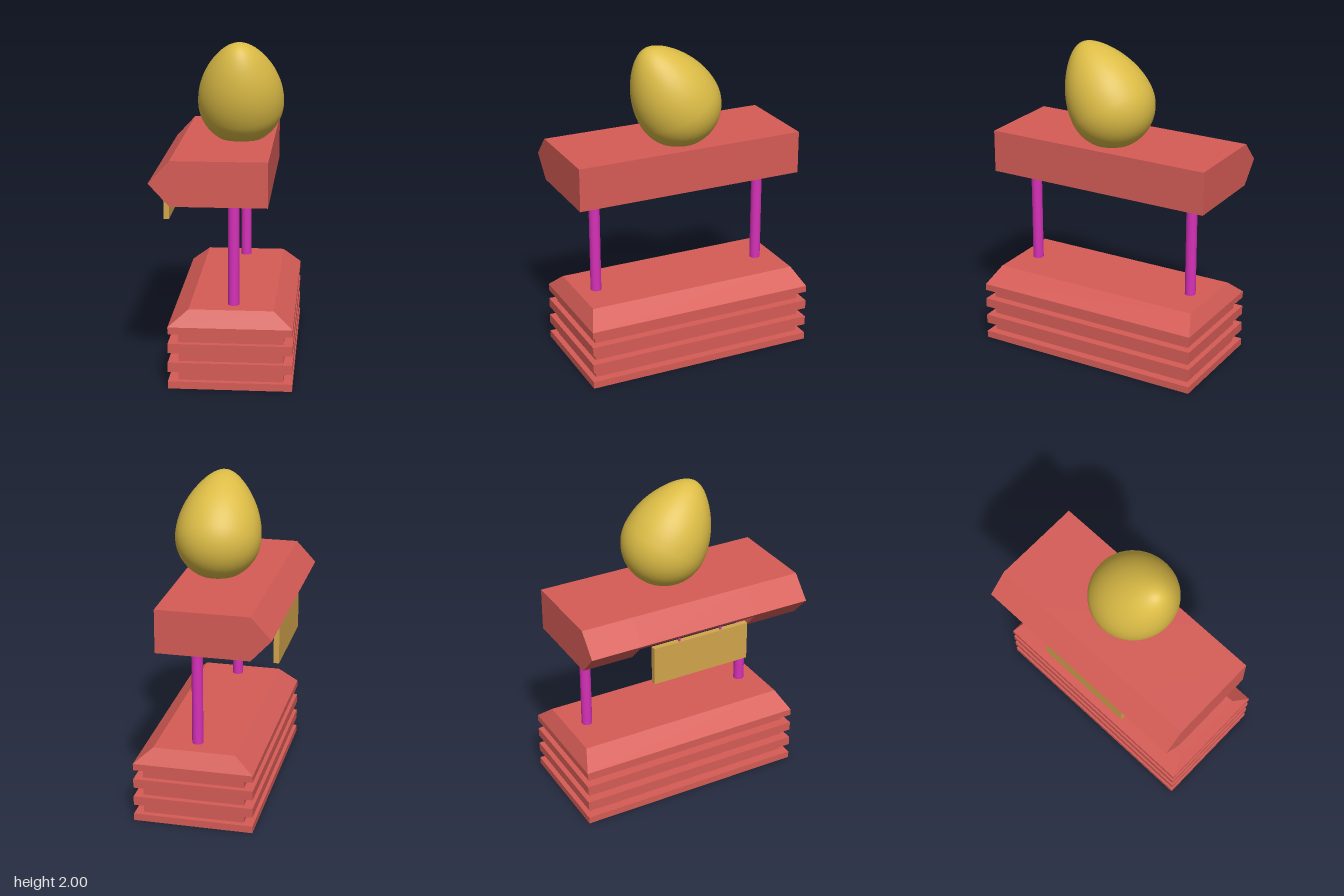
import * as THREE from 'three';

const mat = (color) => new THREE.MeshStandardMaterial({ color });

export function createModel() {
  const model = new THREE.Group();
  const red = mat(0xd65c56), purple = mat(0xd630b8), ochre = mat(0xd2a54c), gold = mat(0xdcbc46);

  const add = (parent, name, geometry, material) => {
    const mesh = new THREE.Mesh(geometry, material);
    mesh.name = name;
    parent.add(mesh);
    return mesh;
  };
  // Box given by its limits on each axis
  const slab = (x0, x1, y0, y1, z0, z1) =>
    new THREE.BoxGeometry(x1 - x0, y1 - y0, z1 - z0)
      .translate((x0 + x1) / 2, (y0 + y1) / 2, (z0 + z1) / 2);
  // Profile in x and y drawn out along z
  const prism = (points, z0, z1) =>
    new THREE.ExtrudeGeometry(
      new THREE.Shape(points.map(([x, y]) => new THREE.Vector2(x, y))),
      { depth: z1 - z0, bevelEnabled: false }
    ).translate(0, 0, z0);
  const rod = (x, z, y0, y1, r) =>
    new THREE.CylinderGeometry(r, r, y1 - y0, 24).translate(x, (y0 + y1) / 2, z);

  // Stepped base: wide ledges alternating with recessed courses
  const base = new THREE.Group();
  base.name = 'base';
  model.add(base);
  for (const [y0, y1] of [[0, 0.045], [0.105, 0.163], [0.222, 0.28], [0.34, 0.382]])
    add(base, 'ledge', slab(-0.32, 0.42, y0, y1, -0.74, 0.74), red);
  for (const [y0, y1] of [[0.045, 0.105], [0.163, 0.222], [0.28, 0.34]])
    add(base, 'recessedCourse', slab(-0.26, 0.367, y0, y1, -0.705, 0.705), red);

  // Sloped cap: a box whose top corners are drawn inwards
  const cap = slab(-0.32, 0.42, 0.382, 0.48, -0.74, 0.74);
  const p = cap.attributes.position;
  for (let i = 0; i < p.count; i++) {
    if (p.getY(i) > 0.43) {
      p.setX(i, p.getX(i) > 0 ? 0.305 : -0.2);
      p.setZ(i, Math.sign(p.getZ(i)) * 0.687);
    }
  }
  cap.computeVertexNormals();
  add(base, 'slopedCap', cap, red);

  // Two posts
  for (const z of [0.567, -0.557]) add(model, 'post', rod(0.06, z, 0.47, 1.13, 0.034), purple);

  // Pointed beam with a notch under its middle
  const beam = new THREE.Group();
  beam.name = 'beam';
  model.add(beam);
  const full = [[-0.425, 1.25], [-0.3, 1.115], [0.27, 1.115], [0.27, 1.385], [-0.3, 1.385]];
  const notched = [[-0.425, 1.25], [-0.397, 1.22], [0.11, 1.22], [0.11, 1.115],
    [0.27, 1.115], [0.27, 1.385], [-0.3, 1.385]];
  add(beam, 'beamFront', prism(full, 0.38, 0.74), red);
  add(beam, 'beamMiddle', prism(notched, -0.41, 0.38), red);
  add(beam, 'beamBack', prism(full, -0.735, -0.41), red);

  // Sign board hung in the notch on two thin pins
  add(model, 'signBoard', slab(-0.387, -0.353, 0.938, 1.185, -0.308, 0.338), ochre);
  for (const z of [0.155, -0.13]) add(model, 'signPin', rod(-0.372, z, 1.175, 1.235, 0.008), purple);

  // Egg, leaning towards the front
  const profile = [];
  const steps = 40;
  for (let i = 0; i <= steps; i++) {
    const a = -Math.PI / 2 + (Math.PI * i) / steps;
    const u = Math.sin(a);
    const taper = u > 0 ? 1 - 0.25 * u * u : 1;
    profile.push(new THREE.Vector2(Math.max(0, 0.266 * Math.cos(a) * taper), u * (u > 0 ? 0.425 : 0.266)));
  }
  const egg = add(model, 'egg', new THREE.LatheGeometry(profile, 64), gold);
  egg.position.set(0.062, 1.617, 0.003);
  egg.rotation.x = 0.53;

  return model;
}
